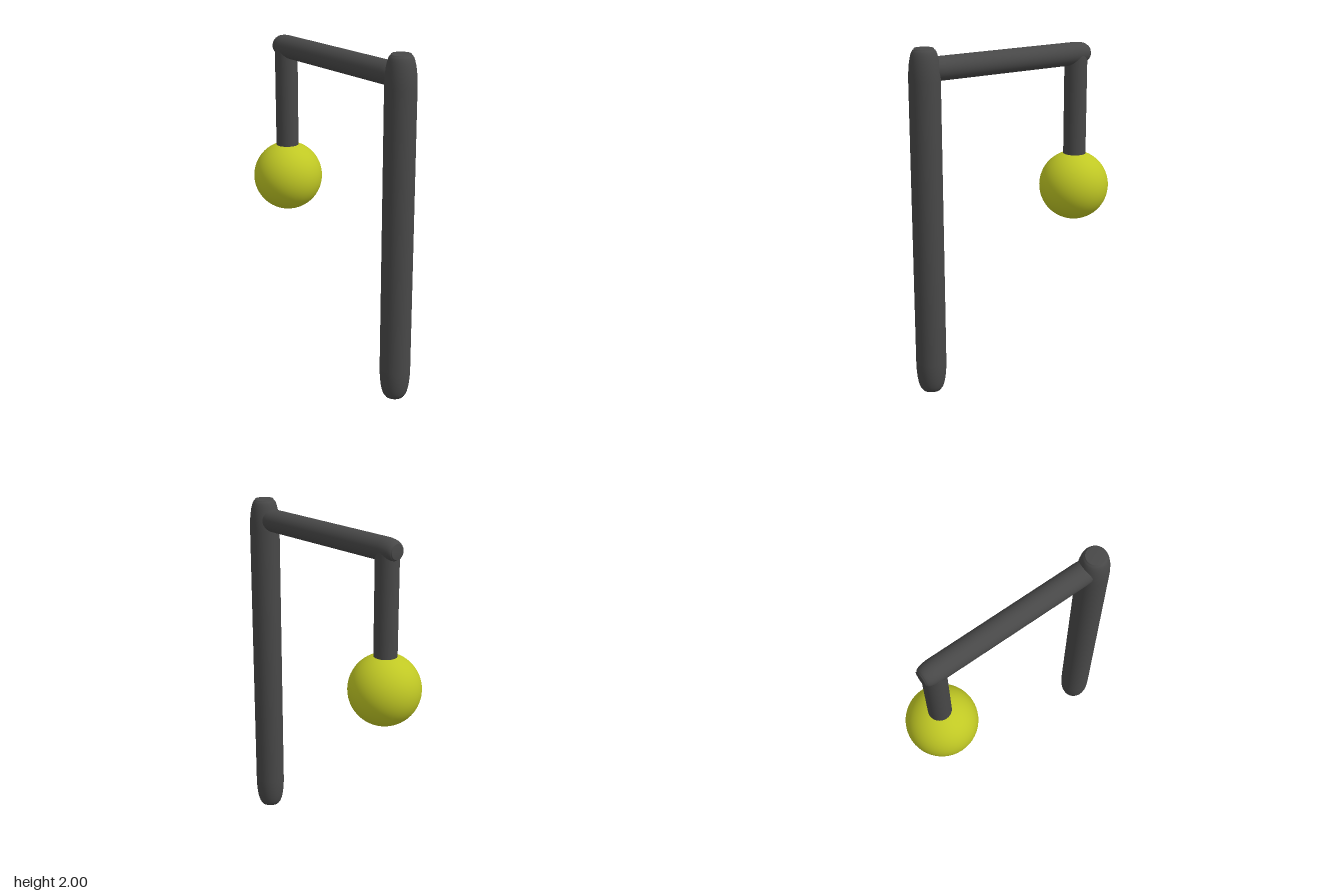
import * as THREE from 'three';

const dark = new THREE.MeshStandardMaterial({ color: 0x484848 });
const yellow = new THREE.MeshStandardMaterial({ color: 0xc0c824 });

// Round bar centred on its origin along y, its ends softly narrowing to a flat cap
function bar(name, radius, length, endRadius, taper) {
  const h = length / 2;
  const points = [new THREE.Vector2(0, -h), new THREE.Vector2(endRadius, -h)];
  const steps = 8;
  for (let i = 0; i <= steps; i++) {
    const a = (i / steps) * Math.PI / 2;
    points.push(new THREE.Vector2(
      endRadius + (radius - endRadius) * Math.sin(a),
      -h + 0.006 + (taper - 0.006) * (1 - Math.cos(a)),
    ));
  }
  // mirror the lower half to make the upper end
  for (const p of points.slice().reverse()) points.push(new THREE.Vector2(p.x, -p.y));
  const mesh = new THREE.Mesh(new THREE.LatheGeometry(points, 32), dark);
  mesh.name = name;
  return mesh;
}

export function createModel() {
  const model = new THREE.Group();
  model.name = 'hangingLamp';

  // Upright post standing on the ground
  const post = bar('post', 0.088, 2, 0.054, 0.18);
  post.position.set(0.565, 1, 0);

  // Horizontal arm reaching from the post
  const arm = bar('arm', 0.067, 1.085, 0.044, 0.09);
  arm.rotation.z = Math.PI / 2;
  arm.position.set(0.0175, 1.882, 0);

  // Hanger dropping from the end of the arm
  const hanger = bar('hanger', 0.067, 0.72, 0.044, 0.06);
  hanger.position.set(-0.449, 1.56, 0);

  // Globe at the bottom of the hanger
  const globe = new THREE.Mesh(new THREE.SphereGeometry(0.208, 48, 32), yellow);
  globe.name = 'globe';
  globe.position.set(-0.447, 1.085, 0);

  model.add(post, arm, hanger, globe);
  return model;
}
